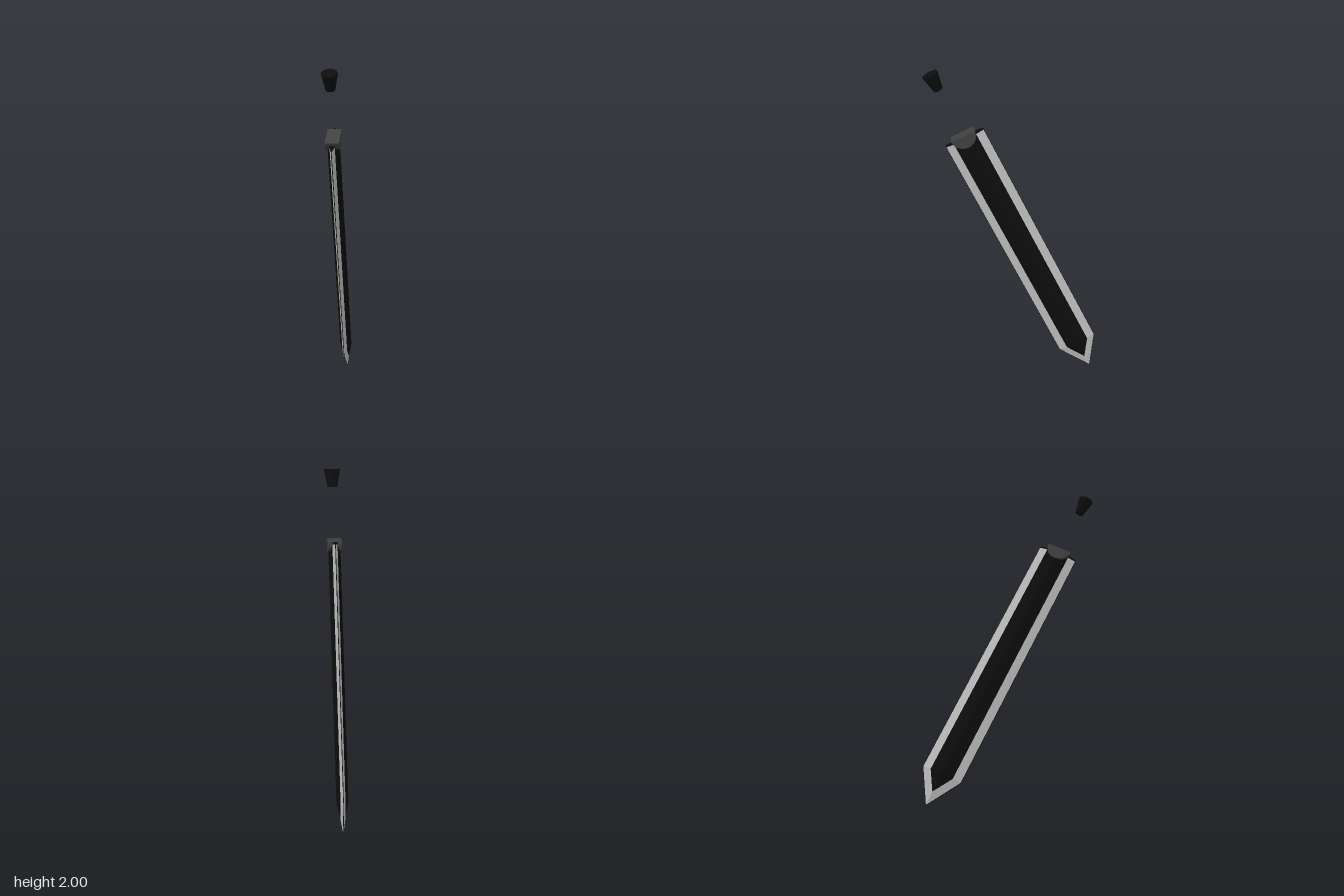
import * as THREE from 'three';

const black = new THREE.MeshStandardMaterial({ color: 0x0d0d0d, name: 'black' });
const steel = new THREE.MeshStandardMaterial({ color: 0xc0c0c0, name: 'steel' });
const darkGrey = new THREE.MeshStandardMaterial({ color: 0x404040, name: 'dark grey' });
for (const m of [black, steel, darkGrey]) m.flatShading = true;

// Mesh from quads given for the +x, +z quarter, mirrored to all four quarters
function mirroredMesh(name, quads, material) {
  const pos = [];
  for (const sx of [1, -1]) for (const sz of [1, -1]) {
    for (const [a, b, c, d] of quads) {
      const tris = c === d ? [[a, b, c]] : [[a, b, c], [a, c, d]];
      for (const t of tris) {
        if (sx * sz < 0) t.reverse();
        for (const [x, y, z] of t) pos.push(x * sx, y, z * sz);
      }
    }
  }
  const g = new THREE.BufferGeometry();
  g.setAttribute('position', new THREE.Float32BufferAttribute(pos, 3));
  g.computeVertexNormals();
  const mesh = new THREE.Mesh(g, material);
  mesh.name = name;
  return mesh;
}

// Quads joining an outer line of points to an inner one
function strip(outer, inner) {
  const quads = [];
  for (let i = 0; i < outer.length - 1; i++) {
    quads.push([outer[i], outer[i + 1], inner[i + 1], inner[i]]);
  }
  return quads;
}

export function createModel() {
  const group = new THREE.Group();
  group.name = 'sword';
  const tilted = new THREE.Group();
  tilted.name = 'tiltedSword';
  tilted.position.set(0, 1.603, 0.278);
  tilted.rotation.x = 0.448;
  group.add(tilted);

  // Blade: diamond section, lines run from hilt to shoulder to tip
  const top = -0.012, shoulder = -1.576, tip = -1.777;
  const edge = [[0, top, 0.12], [0, shoulder, 0.12], [0, tip, 0]];
  const bevel = [[0.002, top, 0.118], [0.002, shoulder, 0.118], [0.002, tip + 0.006, 0]];
  const inset = [[0.015, top, 0.07], [0.015, shoulder, 0.07], [0.015, -1.69, 0]];
  const ridgeEnd = [0.036, shoulder, 0];
  const ridge = [[0.036, top, 0], ridgeEnd, ridgeEnd];
  tilted.add(mirroredMesh('bladeRim', strip(edge, bevel), black));
  tilted.add(mirroredMesh('bladeBevels', strip(bevel, inset), steel));
  tilted.add(mirroredMesh('bladeCore', strip(inset, ridge), black));

  // Dark collar and cap closing the top of the blade
  const e = [0, 0, 0.12], r = [0.036, 0, 0];
  tilted.add(mirroredMesh('bladeCap', [
    [e, edge[0], ridge[0], r],
    [[0, 0, 0], e, r, r],
  ], black));

  // Half-round guard lying across the blade
  const half = new THREE.Shape();
  half.absarc(0, 0, 0.074, Math.PI, Math.PI * 2, false);
  half.closePath();
  const guardGeo = new THREE.ExtrudeGeometry(half, { depth: 0.08, bevelEnabled: false, curveSegments: 14 });
  guardGeo.translate(0, 0, -0.04).rotateY(Math.PI / 2);
  const guard = new THREE.Mesh(guardGeo, darkGrey);
  guard.name = 'guard';
  guard.position.y = 0.017;
  tilted.add(guard);

  // Tapered pommel floating above the guard
  const pommel = new THREE.Mesh(new THREE.CylinderGeometry(0.047, 0.027, 0.103, 8), black);
  pommel.name = 'pommel';
  pommel.position.y = 0.367;
  tilted.add(pommel);

  return group;
}
